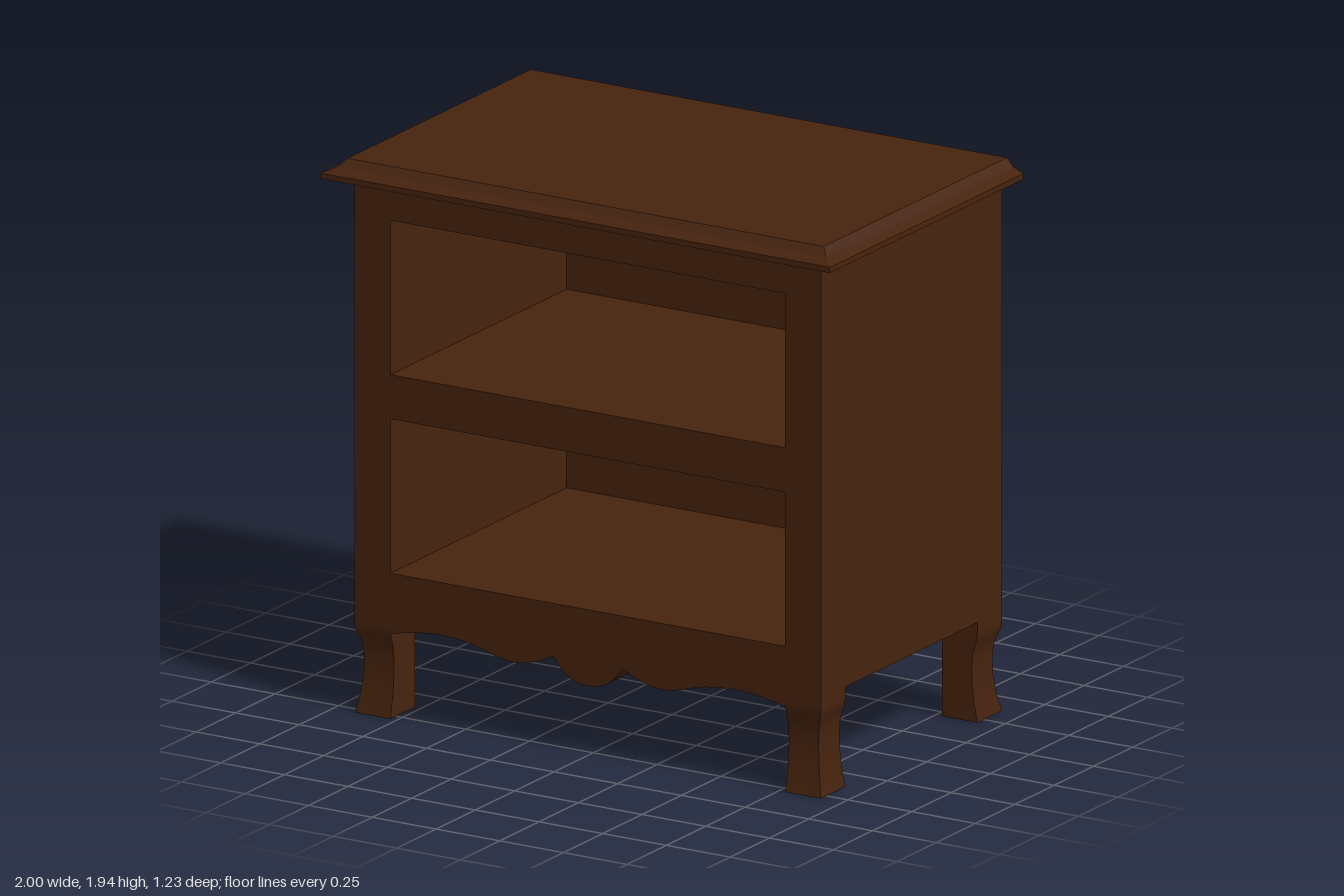
import * as THREE from 'three';

const X = 0.915, FRONT = 0.535, BACK = -0.615;   // cabinet extents
const BASE = 0.35, TOP = 1.875;
const LEG_W = 0.14, LEG_D = 0.155;

const wood = new THREE.MeshStandardMaterial({ color: 0x46230e });
wood.name = 'darkWood';

function addMesh(parent, name, geometry) {
  const mesh = new THREE.Mesh(geometry, wood);
  mesh.name = name;
  parent.add(mesh);
  return mesh;
}

function rectangle(target, x0, y0, x1, y1) {
  target.moveTo(x0, y0);
  target.lineTo(x1, y0);
  target.lineTo(x1, y1);
  target.lineTo(x0, y1);
  target.closePath();
  return target;
}

// Cabinet body with two open compartments, closed by a back panel
function addBody(group) {
  const panel = 0.03;
  const shape = rectangle(new THREE.Shape(), -X, BASE, X, TOP);
  for (const [y0, y1] of [[0.51, 1.05], [1.205, 1.745]]) {
    shape.holes.push(rectangle(new THREE.Path(), -0.775, y0, 0.775, y1));
  }
  const body = new THREE.ExtrudeGeometry(shape, { depth: FRONT - BACK - panel, bevelEnabled: false });
  addMesh(group, 'cabinetBody', body.translate(0, 0, BACK + panel));
  const back = new THREE.BoxGeometry(2 * X, TOP - BASE, panel);
  addMesh(group, 'backPanel', back.translate(0, (TOP + BASE) / 2, BACK + panel / 2));
}

// Scalloped apron between the front legs
function addApron(group) {
  const half = [[0, 0.243], [0.05, 0.25], [0.095, 0.277], [0.135, 0.325], [0.19, 0.3], [0.25, 0.282],
    [0.3, 0.278], [0.36, 0.288], [0.44, 0.311], [0.52, 0.322], [0.6, 0.325], [0.68, 0.317], [0.775, 0.298]];
  const lower = half.map(([x, y]) => new THREE.Vector2(x, y));
  // The curve is split at the sharp notch beside the centre lobe
  const lobe = new THREE.SplineCurve([new THREE.Vector2(-0.05, 0.25), ...lower.slice(0, 4)]).getPoints(32).slice(8);
  const wave = new THREE.SplineCurve(lower.slice(3)).getPoints(36);
  const right = [...lobe, ...wave.slice(1)];
  const left = right.slice(1).reverse().map((p) => new THREE.Vector2(-p.x, p.y));
  const shape = new THREE.Shape([...left, ...right,
    new THREE.Vector2(0.775, BASE), new THREE.Vector2(-0.775, BASE)]);
  const apron = new THREE.ExtrudeGeometry(shape, { depth: LEG_D, bevelEnabled: false });
  addMesh(group, 'apron', apron.translate(0, 0, FRONT - LEG_D));
}

// Square leg whose two outer faces curve inwards
function addLeg(group, name, sx, sz) {
  const profile = new THREE.SplineCurve([[0, 0], [0.012, 0.06], [0.021, 0.13], [0.022, 0.2], [0.016, 0.25],
    [0, 0.3], [0, BASE]].map(([i, y]) => new THREE.Vector2(i, y)));
  const steps = 20;
  const points = profile.getPoints(steps);
  const geometry = new THREE.BoxGeometry(LEG_W, BASE, LEG_D, 1, steps, 1);
  const pos = geometry.attributes.position;
  const outerZ = sz > 0 ? FRONT : BACK;
  for (let i = 0; i < pos.count; i++) {
    const p = points[Math.round((pos.getY(i) / BASE + 0.5) * steps)];
    const inset = Math.max(0, p.x);
    const outX = pos.getX(i) * sx > 0, outZ = pos.getZ(i) * sz > 0;
    pos.setXYZ(i, sx * (outX ? X - inset : X - LEG_W), p.y,
      outerZ - sz * (outZ ? inset : LEG_D));
  }
  geometry.computeVertexNormals();
  addMesh(group, name, geometry);
}

// Table top: moulded on the front and both sides, flush at the back
function addTop(group) {
  const rings = [[0, TOP], [0, 1.895], [0.04, 1.912], [0.065, 1.94]];
  const box = new THREE.BoxGeometry(2, 1, 1, 1, rings.length - 1, 1);
  const pos = box.attributes.position;
  for (let i = 0; i < pos.count; i++) {
    const [inset, y] = rings[Math.round((pos.getY(i) + 0.5) * (rings.length - 1))];
    pos.setXYZ(i, Math.sign(pos.getX(i)) * (1 - inset), y, pos.getZ(i) > 0 ? 0.615 - inset : BACK);
  }
  const geometry = box.toNonIndexed();
  geometry.computeVertexNormals();
  addMesh(group, 'tableTop', geometry);
}

export function createModel() {
  const group = new THREE.Group();
  group.name = 'nightstand';
  addBody(group);
  addApron(group);
  addTop(group);
  for (const [side, sx] of [['Left', 1], ['Right', -1]]) {
    addLeg(group, 'front' + side + 'Leg', sx, 1);
    addLeg(group, 'back' + side + 'Leg', sx, -1);
  }
  return group;
}
